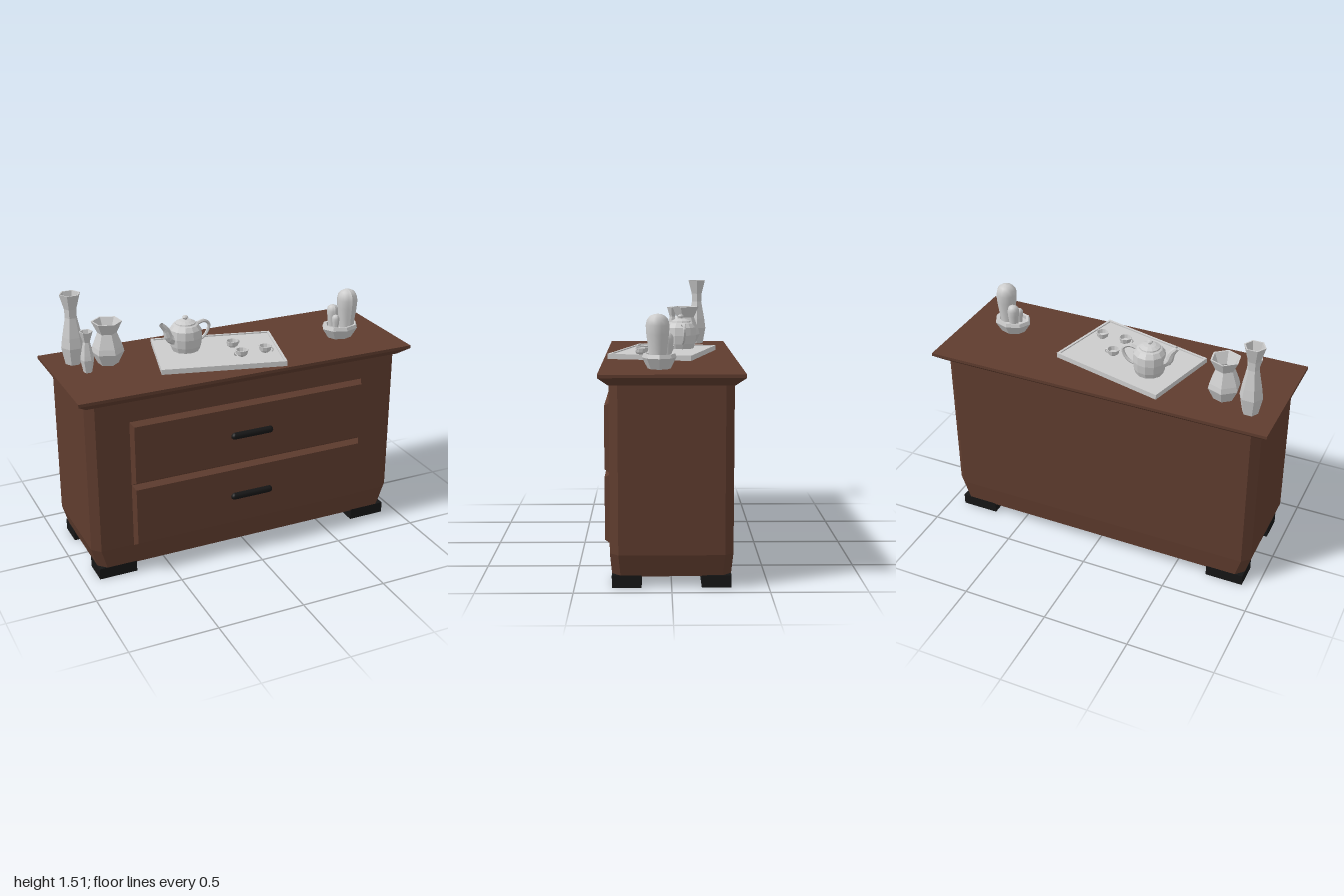
import * as THREE from 'three';
import { ConvexGeometry } from 'three/addons/geometries/ConvexGeometry.js';

const wood = new THREE.MeshStandardMaterial({ color: 0x5f3c2e });
const black = new THREE.MeshStandardMaterial({ color: 0x161616 });
const grey = new THREE.MeshStandardMaterial({ color: 0xcccccc, flatShading: true, side: THREE.DoubleSide });
const greySmooth = new THREE.MeshStandardMaterial({ color: 0xcccccc, side: THREE.DoubleSide });
const TOP = 1.11;

function add(parent, name, geometry, material, x = 0, y = 0, z = 0) {
  const mesh = new THREE.Mesh(geometry, material);
  mesh.name = name;
  mesh.position.set(x, y, z);
  parent.add(mesh);
  return mesh;
}

function addGroup(parent, name, x, y, z, turn = 0) {
  const group = new THREE.Group();
  group.name = name;
  group.position.set(x, y, z);
  group.rotation.y = turn;
  parent.add(group);
  return group;
}

// Convex solid through horizontal sections [y, halfX, halfZ, cornerChamfer]
function hull(sections) {
  const points = [];
  for (const [y, hx, hz, c] of sections)
    for (const sx of [-1, 1]) for (const sz of [-1, 1]) {
      points.push(new THREE.Vector3(sx * hx, y, sz * (hz - c)));
      if (c > 0) points.push(new THREE.Vector3(sx * (hx - c), y, sz * hz));
    }
  return new ConvexGeometry(points);
}

const lathe = (profile, sides) =>
  new THREE.LatheGeometry(profile.map(([r, y]) => new THREE.Vector2(r, y)), sides);

// Tube along a smooth path, its radius running from r0 to r1
function taperedTube(path, r0, r1, steps, sides) {
  const curve = new THREE.CatmullRomCurve3(path.map(([x, y]) => new THREE.Vector3(x, y, 0)));
  const geometry = new THREE.TubeGeometry(curve, steps, 1, sides);
  const pos = geometry.attributes.position;
  const v = new THREE.Vector3();
  for (let i = 0; i < pos.count; i++) {
    const t = Math.floor(i / (sides + 1)) / steps;
    const centre = curve.getPointAt(t);
    v.fromBufferAttribute(pos, i).sub(centre).multiplyScalar(r0 + (r1 - r0) * t).add(centre);
    pos.setXYZ(i, v.x, v.y, v.z);
  }
  geometry.computeVertexNormals();
  return geometry;
}

function buildCabinet(parent) {
  const cabinet = addGroup(parent, 'cabinet', 0, 0, 0);
  add(cabinet, 'body', hull([[0.06, 0.91, 0.307, 0.045], [0.18, 0.945, 0.317, 0.045], [1.06, 0.945, 0.317, 0.045]]), wood);
  add(cabinet, 'top', hull([[1.05, 0.945, 0.318, 0], [1.093, 1, 0.37, 0], [TOP, 1, 0.37, 0]]), wood);

  for (const sx of [-1, 1]) for (const sz of [-1, 1])
    add(cabinet, 'foot', new THREE.BoxGeometry(0.22, 0.065, 0.153), black, sx * 0.803, 0.0325, sz * 0.231);

  for (const y of [0.366, 0.745]) {
    const drawer = addGroup(cabinet, 'drawer', 0, y, 0);
    // Bevelled front, built lying down and turned to face +z
    const front = add(drawer, 'drawerFront', hull([[0.305, 0.71, 0.188, 0], [0.318, 0.71, 0.188, 0], [0.35, 0.695, 0.168, 0]]), wood);
    front.rotation.x = Math.PI / 2;
    const handle = add(drawer, 'handle', new THREE.CapsuleGeometry(0.021, 0.216, 3, 8), black, 0, 0, 0.35);
    handle.rotation.z = Math.PI / 2;
  }
}

function buildVases(parent) {
  const vases = [
    ['tallVase', -0.847, -0.187, Math.PI / 6,
      [[0, 0.004], [0.045, 0], [0.065, 0.1], [0.056, 0.16], [0.034, 0.27], [0.036, 0.32], [0.06, 0.405], [0.052, 0.405], [0.028, 0.3]]],
    ['wideVase', -0.67, -0.11, 0.15,
      [[0, 0.004], [0.058, 0], [0.092, 0.07], [0.085, 0.1], [0.054, 0.18], [0.086, 0.245], [0.076, 0.245], [0.046, 0.18]]],
    ['smallVase', -0.815, -0.03, 0.3,
      [[0, 0.004], [0.024, 0], [0.038, 0.075], [0.034, 0.1], [0.019, 0.175], [0.037, 0.235], [0.031, 0.235], [0.015, 0.175]]],
  ];
  for (const [name, x, z, turn, profile] of vases)
    add(parent, name, lathe(profile, 6), grey, x, TOP, z).rotation.y = turn;
}

function buildTeaSet(parent) {
  // Tray with a raised rim
  const tray = addGroup(parent, 'tray', -0.068, TOP, 0.032, -0.247);
  add(tray, 'trayBase', new THREE.BoxGeometry(0.69, 0.022, 0.47), grey, 0, 0.011, 0);
  for (const s of [-1, 1]) {
    add(tray, 'trayRim', new THREE.BoxGeometry(0.7, 0.029, 0.014), grey, 0, 0.0145, s * 0.233);
    add(tray, 'trayRim', new THREE.BoxGeometry(0.014, 0.029, 0.48), grey, s * 0.343, 0.0145, 0);
  }

  const teapot = addGroup(parent, 'teapot', -0.22, TOP + 0.022, -0.07, 0.125);
  add(teapot, 'teapotBody', lathe([[0, 0], [0.078, 0], [0.088, 0.03], [0.094, 0.08], [0.09, 0.125], [0.072, 0.15], [0.055, 0.157]], 12), grey);
  add(teapot, 'teapotLid', lathe([[0.06, 0.153], [0.058, 0.162], [0.035, 0.173], [0.01, 0.178], [0.01, 0.182], [0.018, 0.19], [0.014, 0.198], [0, 0.201]], 12), grey);
  add(teapot, 'spout', taperedTube([[-0.07, 0.07], [-0.105, 0.09], [-0.125, 0.14], [-0.155, 0.175]], 0.033, 0.013, 8, 8), grey);
  add(teapot, 'teapotHandle', taperedTube([[0.075, 0.14], [0.12, 0.148], [0.152, 0.125], [0.145, 0.085], [0.115, 0.05], [0.08, 0.035]], 0.011, 0.008, 14, 6), grey);

  const cupProfile = [[0, 0.002], [0.018, 0], [0.032, 0.012], [0.037, 0.037], [0.032, 0.037], [0.027, 0.014], [0, 0.01]];
  for (const [x, z, turn] of [[0.035, 0.01, 0.2], [0.025, 0.157, Math.PI], [0.17, 0.157, -0.8]]) {
    const cup = addGroup(parent, 'cup', x, TOP + 0.022, z, turn);
    add(cup, 'cupBowl', lathe(cupProfile, 10), grey);
    add(cup, 'cupHandle', new THREE.TorusGeometry(0.013, 0.0035, 5, 8, Math.PI), grey, 0.033, 0.021, 0).rotation.z = -Math.PI / 2;
  }
}

// Ribbed stem with a rounded tip, narrowing toward its base
function cactusStem(radius, height) {
  const profile = [[0.72, 0], [0.8, 0.25], [0.95, 0.55], [1, 0.75], [0.9, 0.87], [0.65, 0.95], [0.35, 0.985], [0, 1]];
  const geometry = lathe(profile.map(([r, y]) => [r * radius, y * height]), 16);
  const pos = geometry.attributes.position;
  for (let i = 0; i < pos.count; i++) {
    const rib = Math.floor(i / profile.length) % 2 ? 0.93 : 1.02;
    pos.setX(i, pos.getX(i) * rib);
    pos.setZ(i, pos.getZ(i) * rib);
  }
  geometry.computeVertexNormals();
  return geometry;
}

function buildCactus(parent) {
  const plant = addGroup(parent, 'pottedCactus', 0.705, TOP, 0.062);
  const pot = add(plant, 'pot', lathe([[0, 0], [0.075, 0], [0.112, 0.058], [0.104, 0.078], [0.086, 0.076], [0.086, 0.055], [0, 0.058]], 8), grey);
  pot.scale.z = 0.8;
  for (const [x, z, radius, top] of [[0.038, 0.008, 0.06, 0.285], [-0.028, -0.04, 0.034, 0.185], [-0.037, 0.014, 0.022, 0.14]])
    add(plant, 'cactusStem', cactusStem(radius, top - 0.05), greySmooth, x, 0.05, z);
}

export function createModel() {
  const model = new THREE.Group();
  model.name = 'drawerCabinet';
  buildCabinet(model);
  buildVases(model);
  buildTeaSet(model);
  buildCactus(model);
  return model;
}
